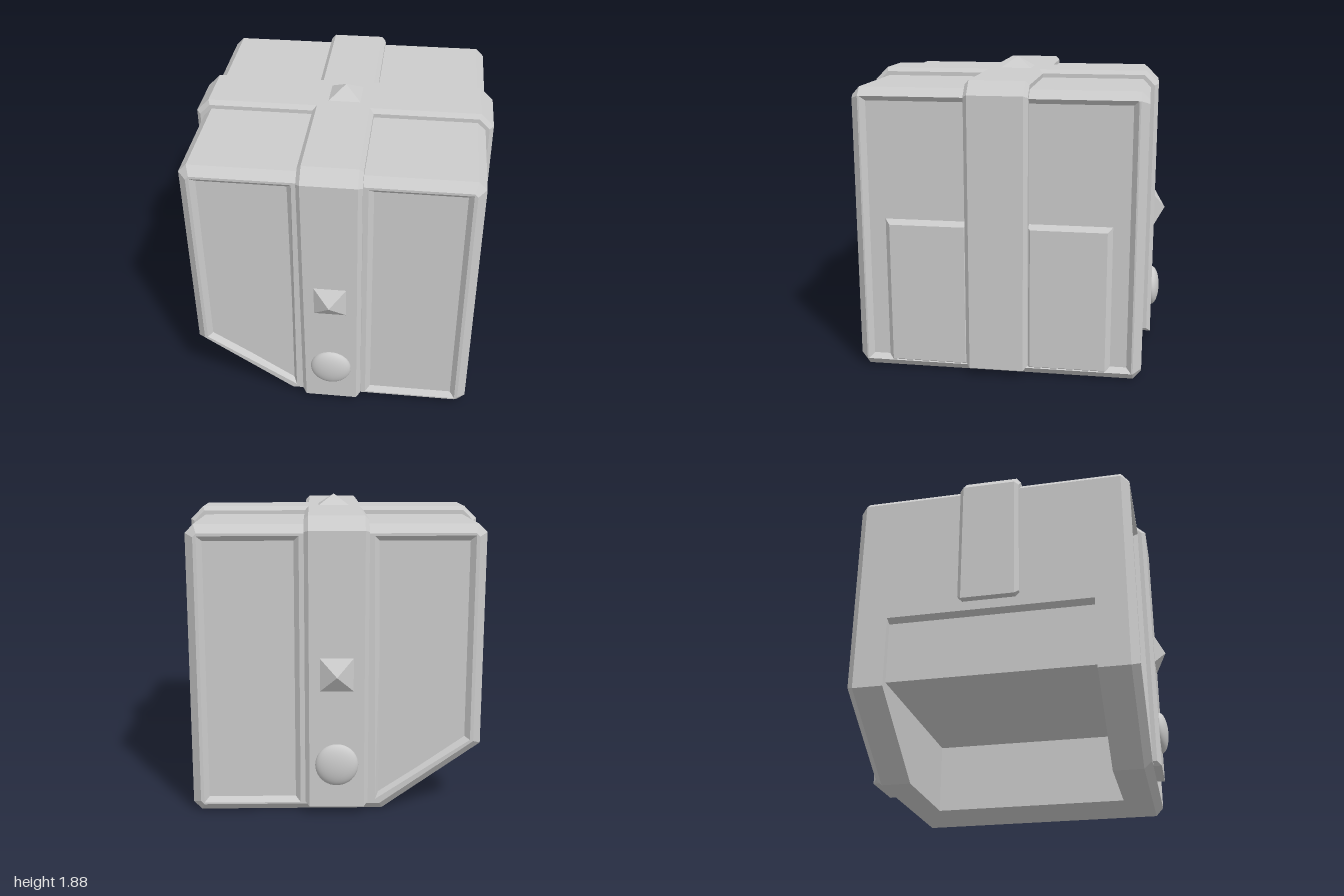
import * as THREE from 'three';

const grey = new THREE.MeshStandardMaterial({ color: 0xcccccc });
const facet = new THREE.MeshStandardMaterial({ color: 0xcccccc, flatShading: true });

const toPoints = (pts) => pts.map(([x, y]) => new THREE.Vector2(x, y));

// Extrude an outline along z, centred on z = 0; the bevel cuts into the outline.
function plate(pts, depth, bevel = 0, holes = []) {
  const shape = new THREE.Shape(toPoints(pts));
  holes.forEach((h) => shape.holes.push(new THREE.Path(toPoints(h))));
  const geo = new THREE.ExtrudeGeometry(shape, {
    depth, bevelEnabled: bevel > 0, bevelSize: bevel, bevelThickness: bevel,
    bevelOffset: -bevel, bevelSegments: 1,
  });
  return geo.translate(0, 0, -depth / 2);
}

// Upside-down U outline for a strap, with legs ending at given heights.
function strapOutline(leftEnd, rightEnd) {
  const o = 0.93, i = 0.8, top = 1.81, c = 0.08;
  return [
    [o, rightEnd], [o, top - c], [o - c, top], [-o + c, top], [-o, top - c], [-o, leftEnd],
    [-i, leftEnd], [-i, 1.68], [i, 1.68], [i, rightEnd],
  ];
}

export function createModel() {
  const model = new THREE.Group();
  const add = (name, geo, x = 0, y = 0, z = 0, mat = grey) => {
    const mesh = new THREE.Mesh(geo, mat);
    mesh.name = name;
    mesh.position.set(x, y, z);
    model.add(mesh);
    return mesh;
  };

  // Right side with a shallow recess between two lips, then the top
  const rightAndTop = [
    [0.83, 0], [0.88, 0.05], [0.85, 0.08], [0.85, 1.68], [0.88, 1.71], [0.83, 1.76],
    [-0.83, 1.76], [-0.88, 1.71],
  ];
  // Sloping lower left corner
  const slope = [[-0.88, 0.42], [-0.28, 0]];

  // Middle of the block, cut away underneath and set back low on the left
  add('middleBlock', plate([
    ...rightAndTop, [-0.88, 0.87], [-0.83, 0.85], [-0.83, 0.46], [0.38, 0.46], [0.38, 0],
  ], 1.28));

  const slab = plate([...rightAndTop, ...slope], 0.19);

  // Bevelled frame around two sunken panels
  const outline = [
    [0.83, 0], [0.88, 0.05], [0.88, 1.71], [0.83, 1.76], [-0.83, 1.76], [-0.88, 1.71], ...slope,
  ];
  const frame = plate(outline, 0.01, 0.05, [
    [[0.27, 0.11], [0.76, 0.11], [0.76, 1.645], [0.27, 1.645]],
    [[-0.76, 0.48], [-0.27, 0.14], [-0.27, 1.645], [-0.76, 1.645]],
  ]);
  const sunkenPanel = plate(outline, 0.01, 0.02);

  const spike = new THREE.ConeGeometry(0.1 * Math.SQRT2, 0.07, 4).rotateY(Math.PI / 4);
  const dome = new THREE.SphereGeometry(0.13, 32, 20).scale(1, 1, 0.05 / 0.13);

  // Low raised panel for the right side
  const raised = plate([[-0.26, 0.03], [0.26, 0.03], [0.26, 0.96], [-0.26, 0.96]], 0.01, 0.03)
    .rotateY(Math.PI / 2);

  for (const [side, s] of [['front', 1], ['back', -1]]) {
    add(side + 'Slab', slab, 0, 0, s * 0.735);
    add(side + 'Frame', frame, 0, 0, s * 0.825);
    add(side + 'SunkenPanel', sunkenPanel, 0, 0, s * 0.825);
    add(side + 'Spike', spike, 0, 0.88, s * 0.965, facet).rotation.x = s * Math.PI / 2;
    add(side + 'Dome', dome, 0, 0.32, s * 0.93);
    add(side + 'SidePanel', raised, 0.845, 0, s * 0.43);
  }

  // Two crossing straps
  add('frontToBackStrap', plate(strapOutline(0.05, 0.05), 0.33, 0.025).rotateY(Math.PI / 2));
  add('sideToSideStrap', plate(strapOutline(0.93, 0.05), 0.33, 0.025));

  add('topSpike', spike, 0, 1.845, 0, facet);
  return model;
}
